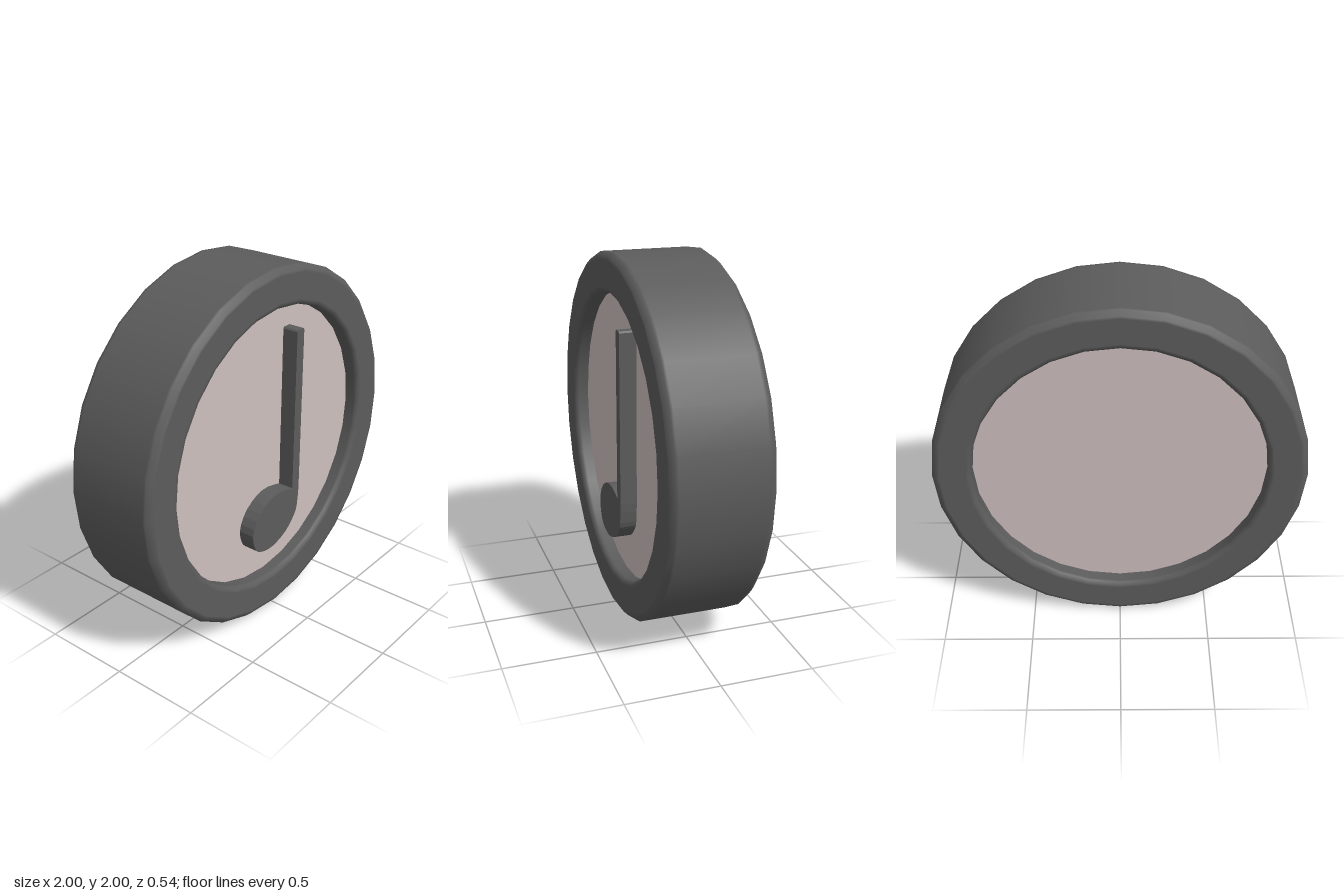
import * as THREE from 'three';

const SIDES = 28;

// Closed ring profile (radius, depth) with chamfered edges and support points
function rimGeometry(inner, outer, half, bevel, innerBevel) {
  const s = 0.015;
  const front = [
    [outer, half - bevel - s], [outer, half - bevel],
    [outer - bevel, half], [outer - bevel - s, half],
    [inner + innerBevel + s, half], [inner + innerBevel, half],
    [inner, half - innerBevel], [inner, half - innerBevel - s],
  ];
  const back = front.map(([r, d]) => [r, -d]).reverse();
  const profile = [[inner, 0], ...back, ...front, [inner, 0]];
  const geometry = new THREE.LatheGeometry(profile.map(([r, d]) => new THREE.Vector2(r, d)), SIDES);
  return geometry.rotateX(Math.PI / 2);
}

// Outline of a quarter note: straight stem and slanted oval head
function noteShape() {
  const shape = new THREE.Shape();
  shape.moveTo(0.2, 0.68);
  shape.lineTo(0.21, 1.625);
  shape.lineTo(0.203, 1.634);
  shape.lineTo(0.157, 1.634);
  shape.lineTo(0.15, 1.625);
  shape.lineTo(0.14, 0.7);
  shape.splineThru([
    [0.03, 0.725], [-0.07, 0.712], [-0.165, 0.65], [-0.21, 0.565], [-0.2, 0.485],
    [-0.16, 0.43], [-0.075, 0.405], [0.01, 0.415], [0.1, 0.455], [0.16, 0.515],
    [0.187, 0.565], [0.2, 0.68],
  ].map(([x, y]) => new THREE.Vector2(x, y)));
  return shape;
}

export function createModel() {
  const model = new THREE.Group();
  model.name = 'noteToken';

  const darkGrey = new THREE.MeshStandardMaterial({ color: 0x5c5c5c });
  darkGrey.name = 'darkGrey';
  const paleRose = new THREE.MeshStandardMaterial({ color: 0xcdc0be });
  paleRose.name = 'paleRose';

  const add = (name, geometry, material, y, z) => {
    const mesh = new THREE.Mesh(geometry, material);
    mesh.name = name;
    mesh.position.set(0, y, z);
    model.add(mesh);
  };

  // Thick outer ring
  add('rim', rimGeometry(0.79, 1, 0.268, 0.025, 0.015), darkGrey, 1, -0.003);

  // Recessed disc filling the ring on both sides
  const disc = new THREE.CylinderGeometry(0.795, 0.795, 0.365, SIDES).rotateX(Math.PI / 2);
  add('disc', disc, paleRose, 1, -0.003);

  // Raised note on the front only
  const note = new THREE.ExtrudeGeometry(noteShape(), { depth: 0.12, bevelEnabled: false, curveSegments: 2 });
  add('note', note, darkGrey, 0, 0.151);

  return model;
}
